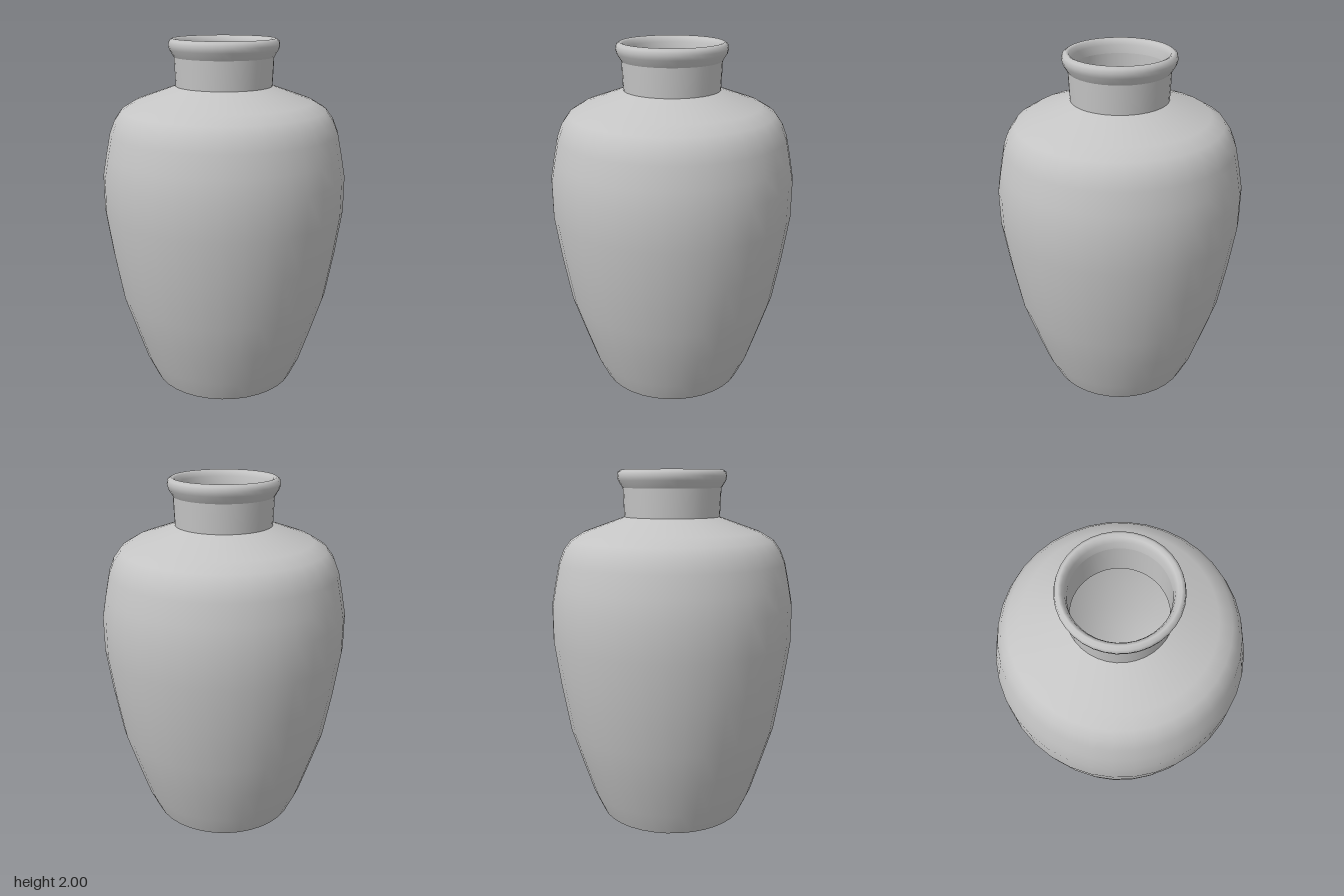
import * as THREE from 'three';

export function createModel() {
  const vase = new THREE.Group();
  vase.name = 'vase';
  const clay = new THREE.MeshStandardMaterial({ color: 0xc4c4c4 });
  clay.name = 'grey clay';

  // Each section is turned separately so the joins between them stay crisp
  const turn = (name, profile, sides) => {
    const points = profile.map(([r, y]) => new THREE.Vector2(r, y));
    const mesh = new THREE.Mesh(new THREE.LatheGeometry(points, sides), clay);
    mesh.name = name;
    vase.add(mesh);
  };

  const body = [
    [0.42, 0], [0.48, 0.13], [0.545, 0.33], [0.608, 0.53], [0.655, 0.8], [0.69, 1.05],
    [0.69, 1.25], [0.668, 1.37], [0.643, 1.49], [0.615, 1.56], [0.575, 1.615], [0.5, 1.66], [0.27, 1.742],
  ];
  const wall = 0.03;

  // Outside
  turn('base', [[0, 0], [0.42, 0]], 36);
  turn('body', body, 36);
  turn('neck', [[0.27, 1.735], [0.274, 1.82], [0.277, 1.9]], 36);
  turn('rim', [
    [0.277, 1.9], [0.302, 1.94], [0.308, 1.965], [0.303, 1.988],
    [0.285, 2], [0.268, 1.992], [0.256, 1.965], [0.25, 1.92],
  ], 36);

  // Hollow inside, running down from the rim to the floor
  turn('neckLining', [[0.25, 1.92], [0.25, 1.715]], 36);
  const lining = body.slice(1, -1).reverse().map(([r, y]) => [r - wall, y - (y > 1.5 ? wall : 0)]);
  turn('bodyLining', [[0.25, 1.715], ...lining, [0.4, wall]], 36);
  turn('floor', [[0.4, wall], [0, wall]], 36);

  return vase;
}
